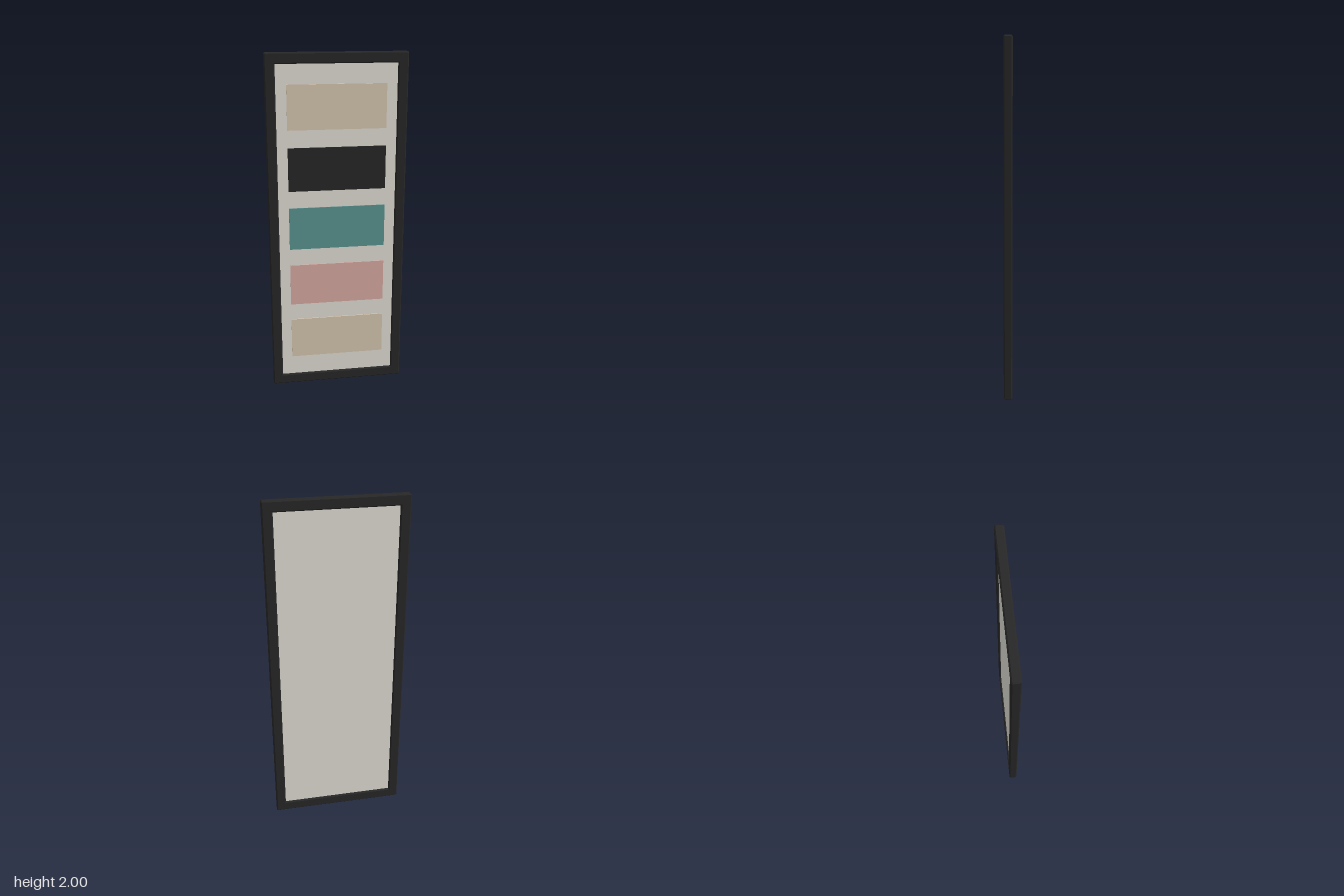
import * as THREE from 'three';

function material(name, color) {
  const m = new THREE.MeshStandardMaterial({ color });
  m.name = name;
  return m;
}

// Rectangle outline with chamfered corners, centred on the origin
function outline(PathType, w, h, c) {
  const x = w / 2, y = h / 2;
  const points = [
    [-x + c, -y], [x - c, -y], [x, -y + c], [x, y - c],
    [x - c, y], [-x + c, y], [-x, y - c], [-x, -y + c],
  ];
  return new PathType(points.map(([px, py]) => new THREE.Vector2(px, py)));
}

export function createModel() {
  const black = material('black', 0x272727);
  const offWhite = material('off white', 0xe4e0d8);
  const tan = material('tan', 0xd8c8b0);
  const teal = material('teal', 0x5a9492);
  const pink = material('dusty pink', 0xd9aba3);

  const group = new THREE.Group();
  group.name = 'framedPanel';
  const add = (name, geometry, mat, y, z = 0) => {
    const mesh = new THREE.Mesh(geometry, mat);
    mesh.name = name;
    mesh.position.set(0, y, z);
    group.add(mesh);
  };

  // Frame with chamfered edges
  const depth = 0.048, bevel = 0.006;
  const shape = outline(THREE.Shape, 0.796, 2, bevel);
  const hole = new THREE.Path([[-0.34, -0.94], [-0.34, 0.94], [0.34, 0.94], [0.34, -0.94]]
    .map(([x, y]) => new THREE.Vector2(x, y)));
  shape.holes.push(hole);
  const frame = new THREE.ExtrudeGeometry(shape, {
    depth: depth - 2 * bevel, bevelEnabled: true, bevelSegments: 1,
    bevelSize: bevel, bevelThickness: bevel, bevelOffset: -bevel,
  });
  frame.translate(0, 0, -depth / 2 + bevel);
  add('frame', frame, black, 1);

  // Backing panel, recessed on both sides
  add('panel', new THREE.BoxGeometry(0.69, 1.89, 0.024), offWhite, 1);

  // Colour swatches on the front, top to bottom
  [tan, black, teal, pink, tan].forEach((mat, i) => {
    add(`swatch${i + 1}`, new THREE.BoxGeometry(0.56, 0.25, 0.008), mat, 1.705 - i * 0.35, 0.014);
  });

  return group;
}
